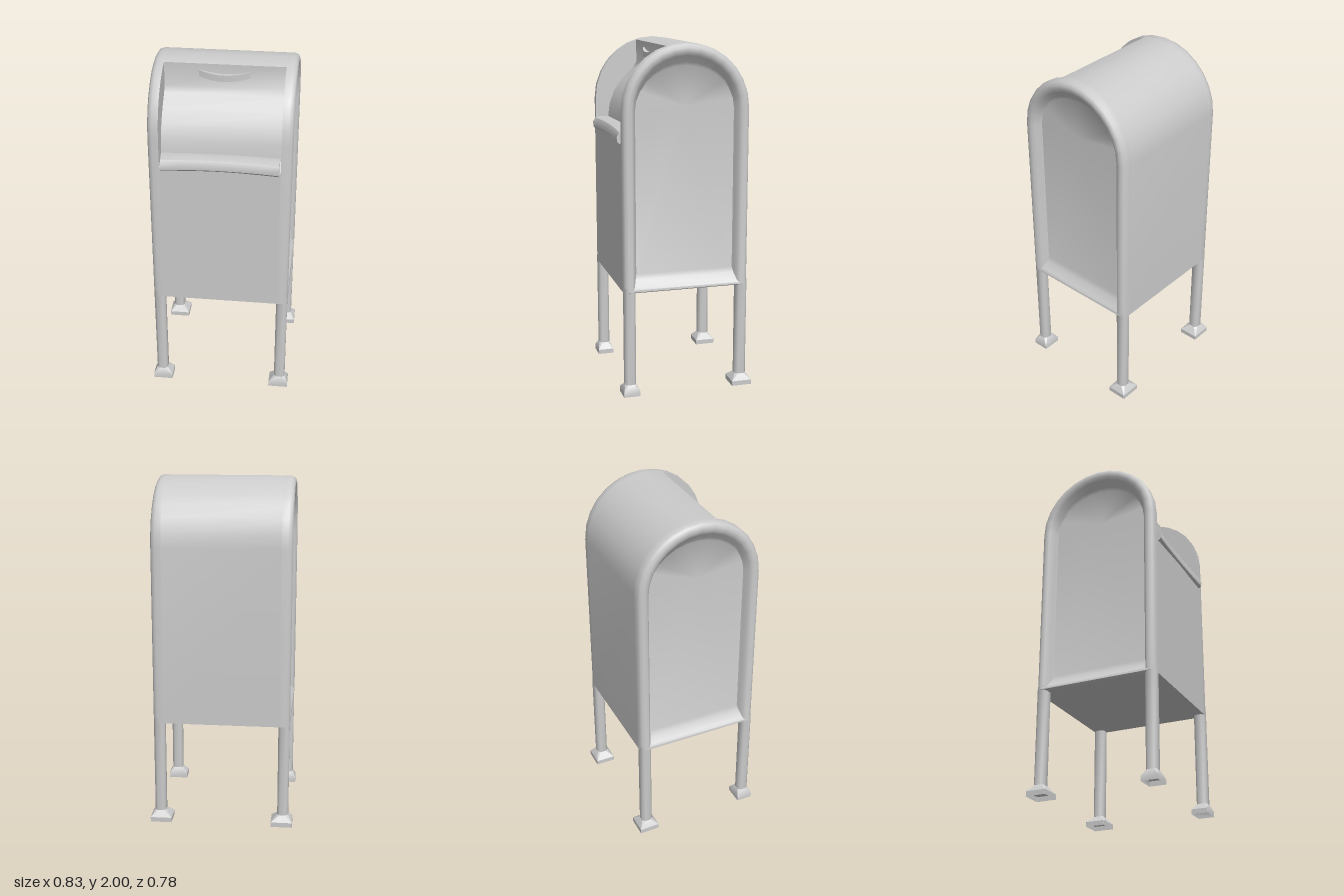
import * as THREE from 'three';
import { toCreasedNormals } from 'three/addons/utils/BufferGeometryUtils.js';

const material = new THREE.MeshStandardMaterial({ color: 0xcccccc });
const openMaterial = new THREE.MeshStandardMaterial({ color: 0xcccccc, side: THREE.DoubleSide });

// Skin a surface over closed rings of [x, y, z] points, all with the same count.
function loft(rings, crease = 0.7) {
  const n = rings[0].length;
  const index = [];
  for (let i = 0; i < rings.length - 1; i++) {
    for (let j = 0; j < n; j++) {
      const k = (j + 1) % n;
      const a = i * n + j, b = i * n + k, c = a + n, d = b + n;
      index.push(a, b, c, b, d, c);
    }
  }
  const geo = new THREE.BufferGeometry();
  geo.setAttribute('position', new THREE.Float32BufferAttribute(rings.flat(2), 3));
  geo.setIndex(index);
  return toCreasedNormals(geo, crease);
}

// Close a loft by collapsing a ring onto its centre.
function collapse(ring) {
  const c = [0, 1, 2].map(k => ring.reduce((s, p) => s + p[k], 0) / ring.length);
  return ring.map(() => c);
}
const capped = rings => [collapse(rings[0]), ...rings, collapse(rings[rings.length - 1])];

const SPRING = 1.635; // height where the arch begins
const SEGMENTS = 14;

// Arch points as [z, y] from the back up over to the front.
function arch(half, top) {
  return Array.from({ length: SEGMENTS + 1 }, (_, i) => {
    const a = Math.PI * (1 - i / SEGMENTS);
    return [half * Math.cos(a), SPRING + (top - SPRING) * Math.sin(a)];
  });
}

// Complete side outline of the box at one x.
function outline(x, half, bottom, top) {
  return [[half, bottom], [-half, bottom], ...arch(half, top)].map(([z, y]) => [x, y, z]);
}

export function createModel() {
  const group = new THREE.Group();
  const add = (name, geo, mat = material) => {
    const mesh = new THREE.Mesh(geo, mat);
    mesh.name = name;
    group.add(mesh);
    return mesh;
  };

  // Main shell with the stepped mail opening cut into the upper front
  const section = [
    [0.365, 0.61], [-0.365, 0.61],
    ...arch(0.365, 2).filter(([z]) => z < 0.1),
    [0.11, 1.983], [0.11, 1.85], [0.135, 1.815], [0.2, 1.75], [0.25, 1.68],
    [0.28, 1.6], [0.29, 1.52], [0.365, 1.47],
  ];
  add('shell', loft([-0.334, 0.334].map(x => section.map(([z, y]) => [x, y, z]))));

  // Side frames: rounded rim running into a recessed panel
  const steps = [ // x, half depth, bottom, top
    [0.333, 0.365, 0.61, 2.0],
    [0.368, 0.365, 0.61, 2.0],
    [0.386, 0.357, 0.612, 1.992],
    [0.395, 0.34, 0.618, 1.975],
    [0.393, 0.318, 0.63, 1.95],
    [0.38, 0.303, 0.642, 1.932],
    [0.352, 0.292, 0.68, 1.895],
    [0.34, 0.285, 0.71, 1.875],
  ];
  for (const side of [1, -1]) {
    const rings = capped(steps.map(([x, h, b, t]) => outline(side * x, h, b, t)));
    if (side < 0) rings.reverse();
    add(side > 0 ? 'leftSideFrame' : 'rightSideFrame', loft(rings, 0.8));
  }

  // Door lip, slightly bowed outward toward its ends
  const lip = [[0.29, 1.53], [0.33, 1.533], [0.362, 1.525], [0.376, 1.5],
    [0.374, 1.472], [0.362, 1.46], [0.335, 1.468], [0.29, 1.5]];
  const lipRings = [-1, -0.67, -0.33, 0, 0.33, 0.67, 1].map(t =>
    lip.map(([z, y]) => [t * 0.325, y - 0.006 * t * t, z + 0.01 * t * t * (z > 0.3 ? 1 : 0)]));
  add('doorLip', loft(capped(lipRings)));

  // Curved pull on the back wall of the opening
  const pullRings = [-1, -0.8, -0.5, -0.2, 0.2, 0.5, 0.8, 1].map(t => {
    const x = 0.14 * t, q = t * t;
    const y = 1.91 + 0.021 * q, out = 0.137 - 0.02 * q;
    return [[x, y + 0.018, 0.1], [x, y + 0.018, out], [x, y - 0.018, out], [x, y - 0.018, 0.1]];
  });
  add('doorPull', loft(capped(pullRings), 0.5));

  // Rounded-square section around a vertical axis
  const post = (cx, y, cz, hx, hz, round) => {
    const pts = [];
    for (const [sx, sz, flip] of [[1, 1, 0], [1, -1, 1], [-1, -1, 0], [-1, 1, 1]]) {
      const pair = [[cx + sx * hx * (1 - round), y, cz + sz * hz], [cx + sx * hx, y, cz + sz * hz * (1 - round)]];
      pts.push(...(flip ? pair.reverse() : pair));
    }
    return pts.reverse();
  };

  // Legs with flared, hollow feet
  for (const sx of [1, -1]) {
    for (const sz of [1, -1]) {
      const name = (sz > 0 ? 'front' : 'back') + (sx > 0 ? 'Left' : 'Right');
      const cx = sx * 0.361, cz = sz * 0.332;
      add(name + 'Leg', loft([0.64, 0.04].map(y => post(cx, y, cz, 0.032, 0.032, 0.45)).reverse(), 1),
        openMaterial);
      const fx = sx * 0.355, fz = sz * 0.331;
      const hx = sz > 0 ? 0.057 : 0.062, hz = sz > 0 ? 0.048 : 0.059;
      add(name + 'Foot', loft([
        post(fx, 0, fz, hx, hz, 0.02),
        post(fx, 0.028, fz, hx, hz, 0.02),
        post(cx, 0.062, cz, 0.034, 0.034, 0.4),
        post(cx, 0.066, cz, 0.03, 0.03, 0.4),
      ], 0.5), openMaterial);
    }
  }
  return group;
}
